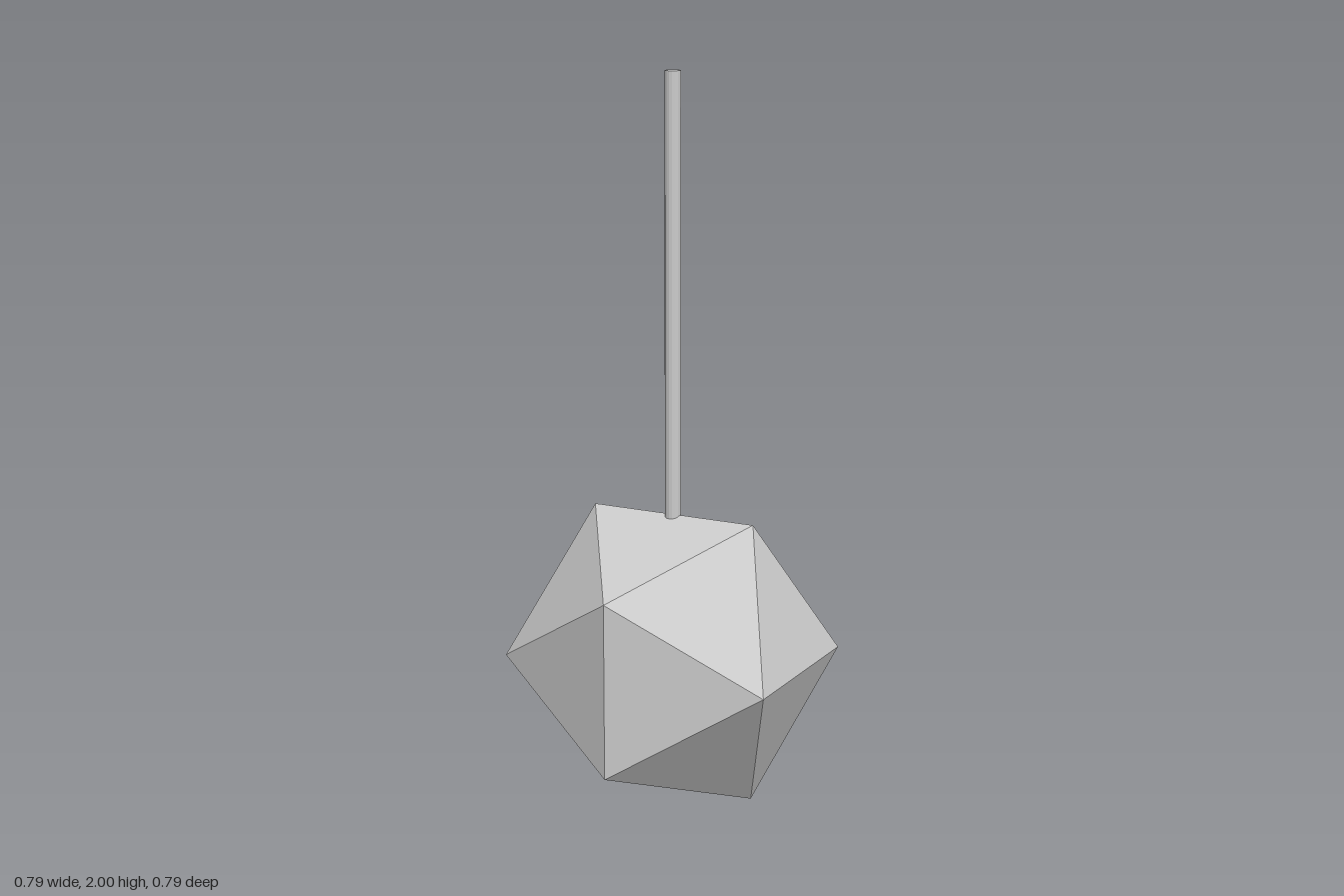
import * as THREE from 'three';

export function createModel() {
  const group = new THREE.Group();
  const material = new THREE.MeshStandardMaterial({ color: 0xcccccc, flatShading: true });

  const addPart = (name, geometry, y) => {
    const mesh = new THREE.Mesh(geometry, material);
    mesh.name = name;
    mesh.position.y = y;
    group.add(mesh);
  };

  // Twenty-sided body resting on its lower edge, ridge along x on top
  const radius = 0.464;
  const halfHeight = 0.395;
  addPart('body', new THREE.IcosahedronGeometry(radius, 0), halfHeight);

  // Slim upright rod, its foot sunk just below the ridge
  const rodBottom = 0.78;
  const rodTop = 2;
  addPart('rod', new THREE.CylinderGeometry(0.022, 0.022, rodTop - rodBottom, 16), (rodTop + rodBottom) / 2);

  return group;
}
